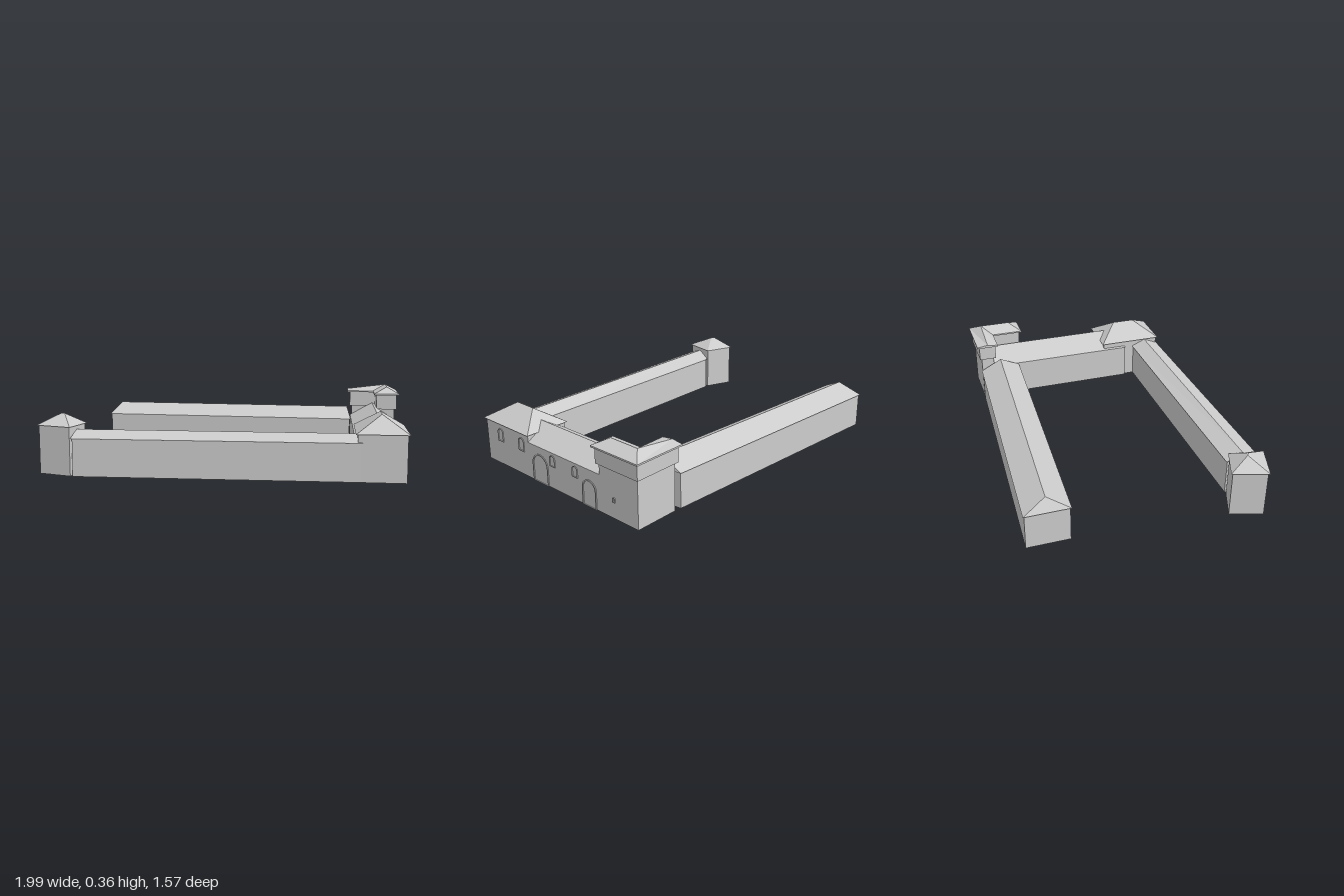
import * as THREE from 'three';

const mat = new THREE.MeshStandardMaterial({ color: 0xcccccc, flatShading: true, side: THREE.DoubleSide });

function add(parent, name, geo) {
  const m = new THREE.Mesh(geo, mat);
  m.name = name;
  parent.add(m);
  return m;
}

// Upright prism over a plan outline of [x, z] points
function prism(pts, y0, y1) {
  const shape = new THREE.Shape(pts.map(([x, z]) => new THREE.Vector2(x, -z)));
  return new THREE.ExtrudeGeometry(shape, { depth: y1 - y0, bevelEnabled: false })
    .rotateX(-Math.PI / 2).translate(0, y0, 0);
}

function polyhedron(verts, faces) {
  const g = new THREE.BufferGeometry();
  g.setAttribute('position', new THREE.Float32BufferAttribute(faces.flat().flatMap(i => verts[i]), 3));
  g.computeVertexNormals();
  return g;
}

// Hipped roof: four eave corners (counter-clockwise from above, first two at one end) and two ridge ends
function hipRoof(corners, ridge, eaveY, ridgeY) {
  const v = [...corners.map(([x, z]) => [x, eaveY, z]), ...ridge.map(([x, z]) => [x, ridgeY, z])];
  return polyhedron(v, [[0, 1, 4], [1, 2, 5], [1, 5, 4], [2, 3, 5], [3, 0, 4], [3, 4, 5], [0, 3, 2], [0, 2, 1]]);
}

// Move the corners of a convex outline inwards, for walls under overhanging eaves
function inset(pts, d) {
  const n = pts.length;
  return pts.map((p, i) => {
    const q = new THREE.Vector2(...p);
    for (const o of [pts[(i + 1) % n], pts[(i + n - 1) % n]])
      q.add(new THREE.Vector2(o[0] - p[0], o[1] - p[1]).normalize().multiplyScalar(d));
    return [q.x, q.y];
  });
}

function building(parent, name, corners, ridge, eaveY, ridgeY, overhang) {
  const g = new THREE.Group();
  g.name = name;
  add(g, name + 'Walls', prism(inset(corners, overhang), 0, eaveY));
  add(g, name + 'Roof', hipRoof(corners, ridge, eaveY, ridgeY));
  parent.add(g);
}

// Round-headed outline
function archPath(P, w, y0, y1) {
  const p = new P();
  p.moveTo(-w, y0);
  p.lineTo(w, y0);
  p.lineTo(w, y1 - w);
  p.absarc(0, y1 - w, w, 0, Math.PI, false);
  p.lineTo(-w, y0);
  return p;
}

// Raised round-headed frame on the outer wall
function archFrame(u, w, y0, y1, t, sill) {
  const s = archPath(THREE.Shape, w, y0, y1);
  s.holes.push(archPath(THREE.Path, w - t, y0 + sill, y1 - t));
  return new THREE.ExtrudeGeometry(s, { depth: 0.006, bevelEnabled: false, curveSegments: 8 })
    .rotateY(Math.PI / 2).translate(0.856, 0, -u);
}

// L-shaped plan of the corner tower, grown by d
function towerPlan(d) {
  const w = 0.63 - d, e = 0.858 + d, s = -0.275 + d, n = -0.515 - d, cx = 0.772 - d, cz = -0.445 + d;
  return [[w, n], [w, cz], [cx, cz], [cx, s], [e, s], [e, n]];
}

export function createModel() {
  const model = new THREE.Group();
  model.name = 'courtyardBuilding';

  // Long back wing
  building(model, 'backWing',
    [[-0.59, -0.79], [-0.65, -0.575], [0.68, -0.125], [0.72, -0.345]],
    [[-0.58, -0.67], [0.69, -0.237]], 0.178, 0.237, 0.006);

  // Long front wing
  building(model, 'frontWing',
    [[-0.76, 0.225], [-0.84, 0.38], [0.48, 0.72], [0.51, 0.565]],
    [[-0.81, 0.3], [0.51, 0.645]], 0.182, 0.216, 0.006);

  // Small pavilion at the end of the front wing
  building(model, 'endPavilion',
    [[-0.9, 0.125], [-1, 0.275], [-0.84, 0.38], [-0.763, 0.225]],
    [[-0.882, 0.235], [-0.868, 0.252]], 0.235, 0.288, 0.008);

  // Side range, built square and turned as one
  const side = new THREE.Group();
  side.name = 'sideRange';
  side.rotation.y = -0.27;
  model.add(side);

  building(side, 'sideWing',
    [[0.858, -0.45], [0.622, -0.45], [0.622, 0.36], [0.858, 0.36]],
    [[0.745, -0.45], [0.745, 0.36]], 0.185, 0.257, 0);

  building(side, 'cornerPavilion',
    [[0.868, 0.218], [0.622, 0.218], [0.622, 0.57], [0.868, 0.57]],
    [[0.745, 0.325], [0.745, 0.446]], 0.222, 0.302, 0.01);

  // L-shaped corner tower with a wider upper storey
  const tower = new THREE.Group();
  tower.name = 'cornerTower';
  side.add(tower);
  add(tower, 'towerLowerWalls', prism(towerPlan(0), 0, 0.24));
  add(tower, 'towerUpperWalls', prism(towerPlan(0.011), 0.24, 0.32));
  add(tower, 'towerEaves', prism(towerPlan(0.024), 0.318, 0.326));

  // Tower roof: hipped arm along the outer wall, low arm towards the court
  const rv = towerPlan(0.024).map(([x, z]) => [x, 0.326, z]);
  rv.push([0.818, 0.36, -0.315], [0.818, 0.36, -0.478], [0.606, 0.334, -0.48]);
  add(tower, 'towerRoof', polyhedron(rv, [
    [3, 4, 6], [4, 5, 7], [4, 7, 6], [5, 0, 8], [5, 8, 7],
    [0, 1, 8], [1, 2, 7], [1, 7, 8], [2, 3, 6], [2, 6, 7],
  ]));

  // Windows and gateways on the outer wall: position, half width, bottom, top
  const windows = [
    [-0.448, 0.021, 0.125, 0.194], [-0.282, 0.021, 0.125, 0.194],
    [-0.05, 0.019, 0.115, 0.172], [0.11, 0.019, 0.115, 0.172],
    [0.366, 0.008, 0.08, 0.105],
  ];
  for (const [u, w, y0, y1] of windows) add(side, 'windowFrame', archFrame(u, w, y0, y1, 0.004, 0.004));
  for (const [u, w, y1] of [[-0.142, 0.057, 0.148], [0.205, 0.047, 0.135]])
    add(side, 'gatewayArch', archFrame(u, w, 0, y1, 0.007, 0.002));

  return model;
}
